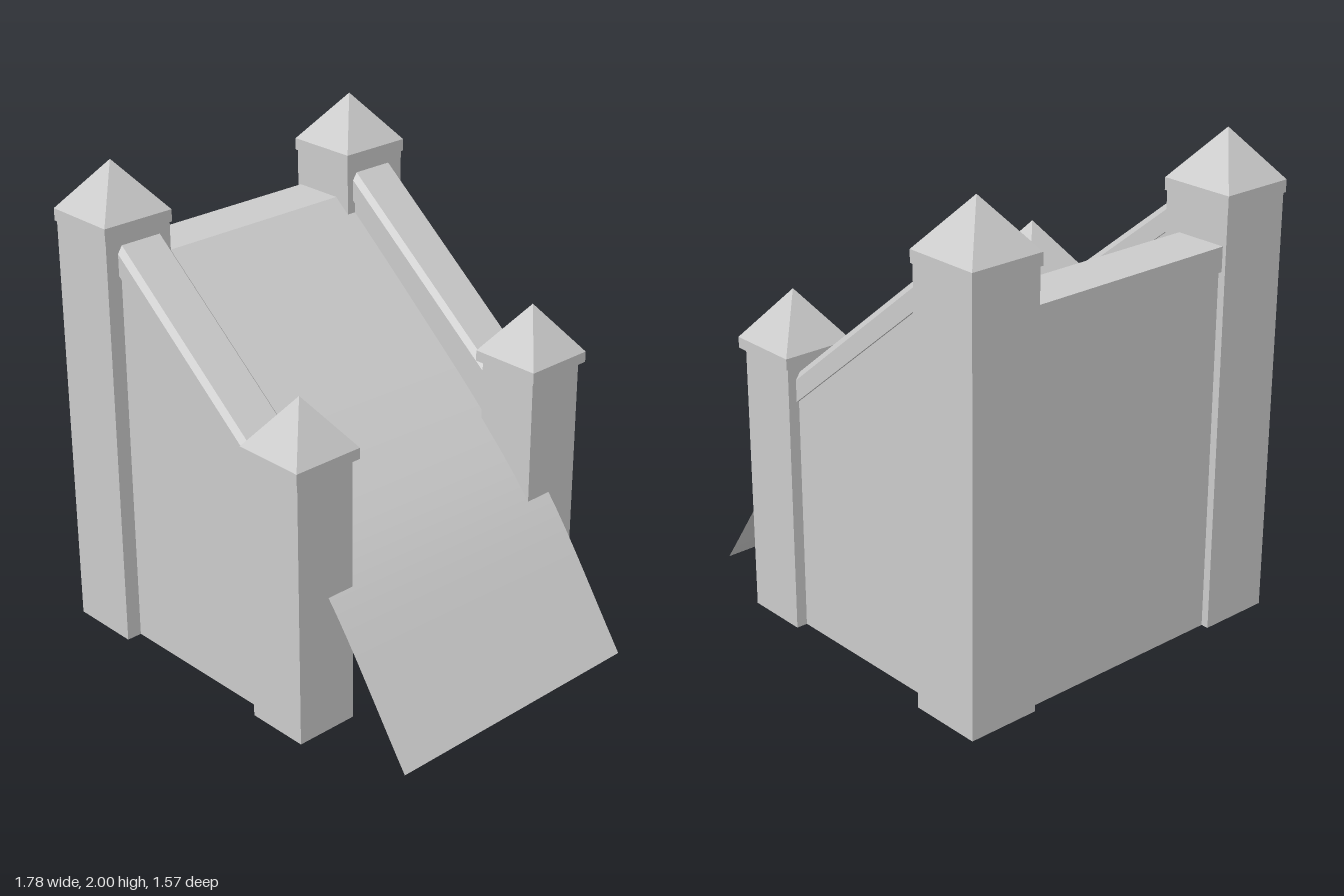
import * as THREE from 'three';

const stone = new THREE.MeshStandardMaterial({ color: 0xcccccc, flatShading: true });
const smooth = new THREE.MeshStandardMaterial({ color: 0xcccccc, side: THREE.DoubleSide });

const SLOPE = -0.81; // fall of the side rails

function add(parent, name, geometry, x = 0, y = 0, z = 0, material = stone) {
  const mesh = new THREE.Mesh(geometry, material);
  mesh.name = name;
  mesh.position.set(x, y, z);
  parent.add(mesh);
  return mesh;
}

// Square post with an overhanging slab and a pyramid cap
function makePost(name, width, capWidth, slabY, capY, apexY) {
  const post = new THREE.Group();
  post.name = name;
  add(post, 'postShaft', new THREE.BoxGeometry(width, slabY, width), 0, slabY / 2);
  add(post, 'capSlab', new THREE.BoxGeometry(capWidth, capY - slabY, capWidth), 0, (slabY + capY) / 2);
  const roof = new THREE.ConeGeometry(capWidth / Math.SQRT2, apexY - capY, 4).rotateY(Math.PI / 4);
  add(post, 'capPyramid', roof, 0, (capY + apexY) / 2);
  return post;
}

// Side wall with a sloped top edge
function sideWallGeometry(x0, x1, thickness) {
  const top = (x) => 1.6 + SLOPE * (x + 0.57);
  const shape = new THREE.Shape([
    new THREE.Vector2(x0, 0), new THREE.Vector2(x1, 0),
    new THREE.Vector2(x1, top(x1)), new THREE.Vector2(x0, top(x0)),
  ]);
  return new THREE.ExtrudeGeometry(shape, { depth: thickness, bevelEnabled: false })
    .translate(0, 0, -thickness / 2);
}

// Rail with chamfered top corners, sheared to follow the slope
function railGeometry(x0, x1) {
  const w = 0.111, c = 0.02;
  const profile = new THREE.Shape([
    [-w, 1.59], [w, 1.59], [w, 1.68], [w - c, 1.71], [c - w, 1.71], [-w, 1.68],
  ].map(([a, b]) => new THREE.Vector2(a, b)));
  const g = new THREE.ExtrudeGeometry(profile, { depth: x1 - x0, bevelEnabled: false })
    .rotateY(Math.PI / 2).translate(x0, 0, 0);
  const p = g.attributes.position;
  for (let i = 0; i < p.count; i++) p.setY(i, p.getY(i) + SLOPE * (p.getX(i) + 0.57));
  g.computeVertexNormals();
  return g;
}

// Thin sheet bent along a gently steepening curve
function rampGeometry() {
  const curve = new THREE.CatmullRomCurve3([
    [-0.645, 1.6], [-0.25, 1.265], [0.2, 0.865], [0.47, 0.58], [0.878, 0],
  ].map(([x, y]) => new THREE.Vector3(x, y, 0)));
  const g = new THREE.PlaneGeometry(1, 1.22, 24, 1).rotateX(-Math.PI / 2);
  const p = g.attributes.position;
  for (let i = 0; i < p.count; i++) {
    const c = curve.getPointAt(THREE.MathUtils.clamp(p.getX(i) + 0.5, 0, 1));
    p.setXYZ(i, c.x, Math.max(0, c.y), p.getZ(i));
  }
  g.computeVertexNormals();
  return g;
}

export function createModel() {
  const model = new THREE.Group();
  model.name = 'rampedStructure';
  const body = new THREE.Group();
  body.name = 'body';
  body.position.z = -0.008;
  body.rotation.y = 0.011; // the whole structure stands slightly askew
  model.add(body);

  // Mirrored sides: posts, wall and rail
  for (const s of [1, -1]) {
    const side = s > 0 ? 'front' : 'back';
    const tall = makePost(side + 'TallPost', 0.307, 0.32, 1.75, 1.8, 2);
    tall.position.set(-0.728, 0, s * 0.622);
    const low = makePost(side + 'LowPost', 0.27, 0.309, 1.12, 1.165, 1.37);
    low.position.set(0.332, 0, s * 0.622);
    body.add(tall, low);
    add(body, side + 'Wall', sideWallGeometry(-0.6, 0.22, 0.2), 0, 0, s * 0.61);
    add(body, side + 'Rail', railGeometry(-0.6, 0.22), 0, 0, s * 0.61);
  }

  // End wall between the tall posts, with its flat coping
  add(body, 'endWall', new THREE.BoxGeometry(0.19, 1.5, 1), -0.755, 0.75);
  add(body, 'endCoping', new THREE.BoxGeometry(0.22, 0.1, 1), -0.755, 1.55);

  add(body, 'ramp', rampGeometry(), 0, 0, 0, smooth);
  return model;
}
